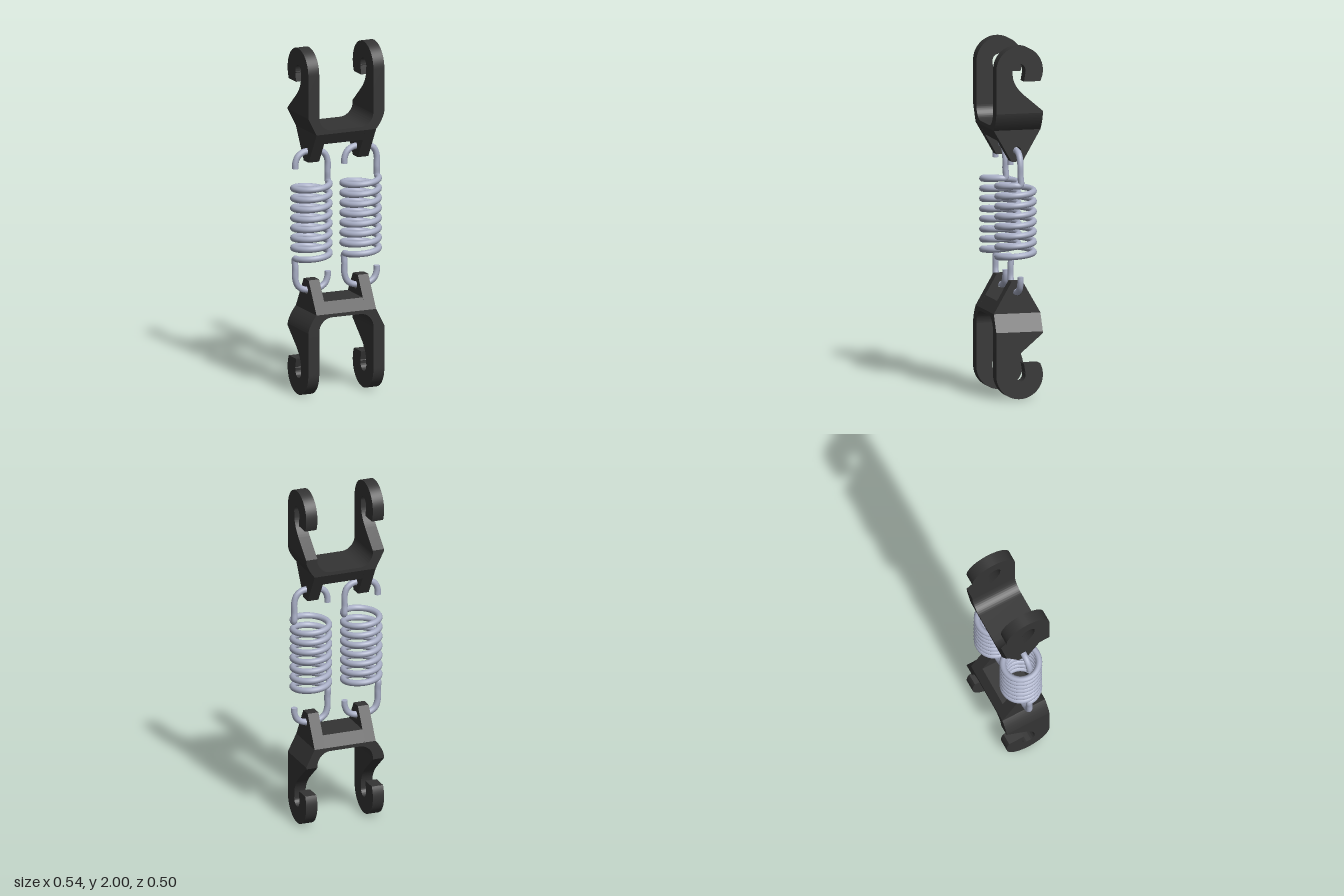
import * as THREE from 'three';
import { toCreasedNormals } from 'three/addons/utils/BufferGeometryUtils.js';

const dark = new THREE.MeshStandardMaterial({ color: 0x343434 });
const steel = new THREE.MeshStandardMaterial({ color: 0xa9afc6 });
const HALF = 0.136;   // half depth of the bracket
const LUG_X = 0.1525; // centre of lugs and springs

function mesh(name, geometry, material) {
  const m = new THREE.Mesh(geometry, material);
  m.name = name;
  return m;
}

// Extrudes a shape and centres it on its depth
function extrude(shape, depth) {
  const g = new THREE.ExtrudeGeometry(shape, { depth, bevelEnabled: false, curveSegments: 20 });
  g.translate(0, 0, -depth / 2);
  return toCreasedNormals(g, 0.5);
}

// Extrudes a (z, y) profile across x, centred at the given x
function sidePlate(shape, thickness, x) {
  return extrude(shape, thickness).rotateY(-Math.PI / 2).translate(x, 0, 0);
}

// Open hook with a slanted throat, as a (z, y) profile
function hookShape() {
  const s = new THREE.Shape();
  const cy = 2 - HALF;
  s.moveTo(-HALF, 1.62);
  s.lineTo(HALF, 1.62);
  s.lineTo(HALF, cy);
  s.absarc(0, cy, HALF, 0, Math.PI + 0.49, false);
  s.lineTo(-0.025, 1.8);
  s.lineTo(-0.034, 1.85);
  s.absarc(0.004, 1.865, 0.038, Math.PI + 0.3, 0, true);
  s.lineTo(0.04, 1.83);
  s.quadraticCurveTo(0.034, 1.775, -0.03, 1.72);
  s.lineTo(-HALF, 1.63);
  return s;
}

// Tapered eye that the spring hooks into
function lugShape() {
  const s = new THREE.Shape();
  s.moveTo(-0.032, 1.34);
  s.lineTo(0.032, 1.34);
  s.lineTo(HALF, 1.52);
  s.lineTo(-HALF, 1.52);
  s.closePath();
  const hole = new THREE.Path();
  hole.absarc(0, 1.402, 0.023, 0, Math.PI * 2, true);
  s.holes.push(hole);
  return s;
}

// Curved bottom of the U, as an (x, y) profile
function yokeShape() {
  const s = new THREE.Shape();
  s.moveTo(-0.185, 1.52);
  s.lineTo(0.185, 1.52);
  s.quadraticCurveTo(0.229, 1.573, 0.236, 1.62);
  s.lineTo(0.168, 1.62);
  s.absarc(0.088, 1.62, 0.08, 0, -Math.PI / 2, true);
  s.lineTo(-0.088, 1.54);
  s.absarc(-0.088, 1.62, 0.08, -Math.PI / 2, -Math.PI, true);
  s.lineTo(-0.236, 1.62);
  s.closePath();
  return s;
}

function createBracket(name) {
  const g = new THREE.Group();
  g.name = name;
  g.add(mesh('yoke', extrude(yokeShape(), HALF * 2), dark));

  // Web between the lugs, tapering in line with them
  const web = new THREE.BoxGeometry(0.25, 0.065, HALF * 2).translate(0, 1.4875, 0);
  const p = web.attributes.position;
  for (let i = 0; i < p.count; i++) {
    if (p.getY(i) < 1.48) p.setZ(i, Math.sign(p.getZ(i)) * 0.098);
  }
  web.computeVertexNormals();
  g.add(mesh('web', web, dark));

  for (const side of [-1, 1]) {
    g.add(mesh('hook', sidePlate(hookShape(), 0.068, side * 0.202), dark));
    g.add(mesh('lug', sidePlate(lugShape(), 0.065, side * LUG_X), dark));
  }
  return g;
}

// Extension spring: bottom hook, coil and top hook as one wire
function createSpring() {
  const R = 0.102, turns = 7.5, steps = 150, low = 0.785;
  const V = (x, y, z = 0) => new THREE.Vector3(x, y, z);
  const top = [
    V(0.1, 1.27), V(0.1, 1.33), V(0.085, 1.372), V(0.05, 1.396), V(0, 1.4),
    V(-0.05, 1.396), V(-0.085, 1.372), V(-0.1, 1.335), V(-0.101, 1.305),
  ];
  const bottom = top.map(v => V(-v.x, 2 - v.y)).reverse();
  const coil = [];
  for (let i = 0; i <= steps; i++) {
    const t = i / steps, a = t * turns * Math.PI * 2;
    coil.push(V(-R * Math.cos(a), low + t * 2 * (1 - low), R * Math.sin(a)));
  }
  const curve = new THREE.CatmullRomCurve3([...bottom, ...coil, ...top], false, 'centripetal');
  curve.arcLengthDivisions = 1500;
  const g = new THREE.Group();
  g.name = 'spring';
  const r = 0.018;
  g.add(mesh('springWire', new THREE.TubeGeometry(curve, 600, r, 12, false), steel));

  // Flat cut ends of the wire
  for (const u of [0, 1]) {
    const cap = mesh('wireEnd', new THREE.CircleGeometry(r, 12), steel);
    const dir = curve.getTangentAt(u).multiplyScalar(u ? 1 : -1);
    cap.position.copy(curve.getPointAt(u));
    cap.quaternion.setFromUnitVectors(V(0, 0, 1), dir);
    g.add(cap);
  }
  return g;
}

export function createModel() {
  const model = new THREE.Group();
  model.name = 'springCoupler';

  model.add(createBracket('upperBracket'));
  // The lower bracket is the upper one turned upside down
  const lower = createBracket('lowerBracket');
  lower.rotation.z = Math.PI;
  lower.position.y = 2;
  model.add(lower);

  for (const side of [-1, 1]) {
    const spring = createSpring();
    spring.position.x = side * LUG_X;
    model.add(spring);
  }

  model.rotation.y = THREE.MathUtils.degToRad(36.2);
  const root = new THREE.Group();
  root.name = 'model';
  root.add(model);
  return root;
}
